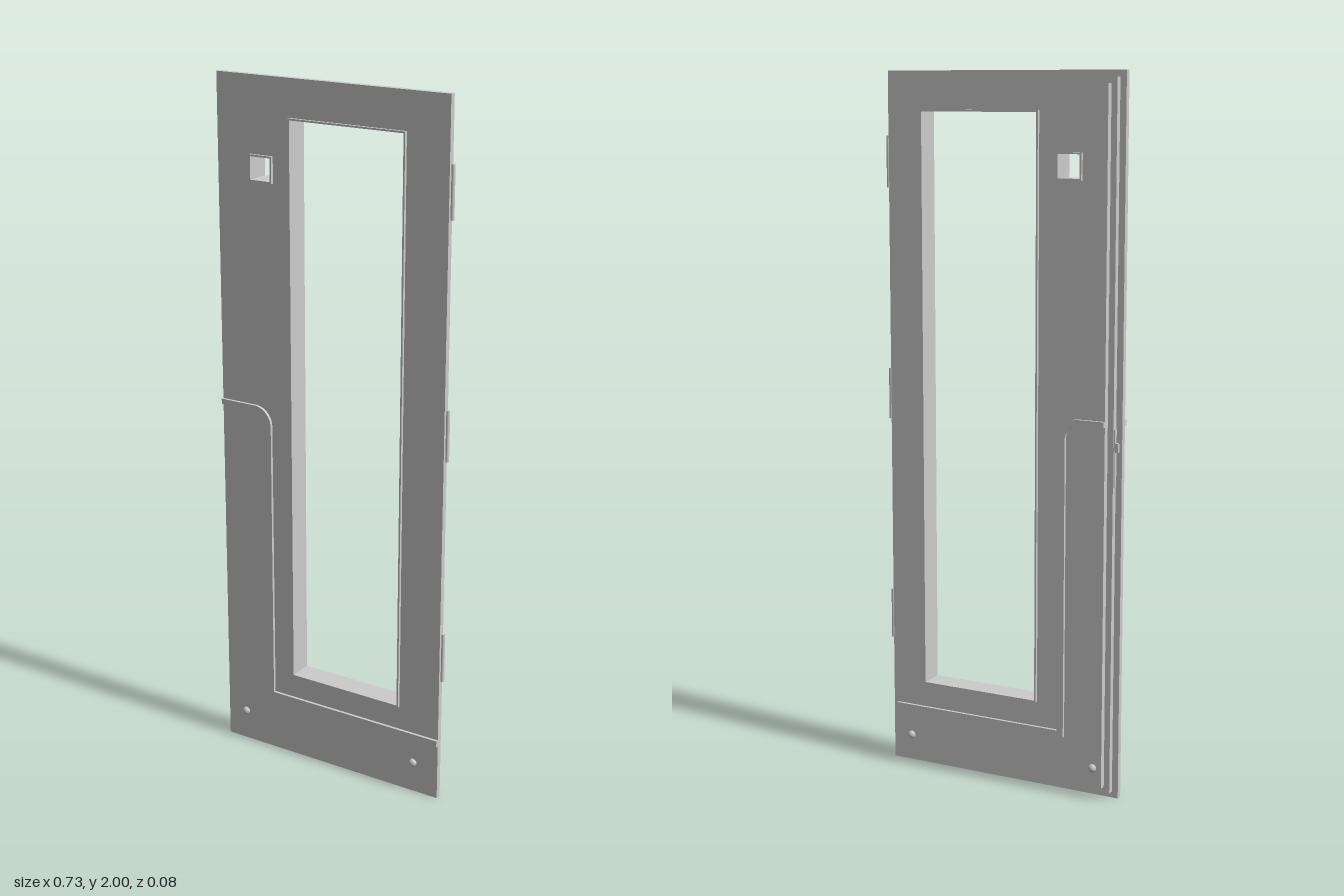
import * as THREE from 'three';

const material = new THREE.MeshStandardMaterial({ color: 0xcccccc });

// Outer rectangles of the two through openings: x0, y0, x1, y1
const WINDOW = [-0.132, 0.257, 0.23, 1.895];
const PEEPHOLE = [-0.26, 1.713, -0.186, 1.787];
const FRAME = 0.005;
const FRONT = 0.025, BACK = -0.029, TRIM = 0.0085;

function rect(target, [x0, y0, x1, y1]) {
  target.moveTo(x0, y0);
  target.lineTo(x1, y0);
  target.lineTo(x1, y1);
  target.lineTo(x0, y1);
  target.closePath();
  return target;
}

const inset = ([x0, y0, x1, y1], d) => [x0 + d, y0 + d, x1 - d, y1 - d];

export function createModel() {
  const group = new THREE.Group();

  function add(name, geometry, x = 0, y = 0, z = 0) {
    const mesh = new THREE.Mesh(geometry, material);
    mesh.name = name;
    mesh.position.set(x, y, z);
    group.add(mesh);
    return mesh;
  }

  function slab(name, shape, z0, z1) {
    const geometry = new THREE.ExtrudeGeometry(shape, {
      depth: z1 - z0, bevelEnabled: false, curveSegments: 10,
    });
    return add(name, geometry, 0, 0, z0);
  }

  // Door leaf: three layers, stepping inwards towards the back
  const layers = [
    ['frontLayer', [-0.367, 0, 0.357, 2], 0.008, FRONT],
    ['middleLayer', [-0.349, 0.018, 0.339, 1.982], -0.010, 0.008],
    ['backLayer', [-0.332, 0.035, 0.321, 1.965], BACK, -0.010],
  ];
  for (const [name, outline, z0, z1] of layers) {
    const shape = rect(new THREE.Shape(), outline);
    for (const opening of [WINDOW, PEEPHOLE]) {
      shape.holes.push(rect(new THREE.Path(), inset(opening, FRAME / 2)));
    }
    slab(name, shape, z0, z1);
  }

  // Thin frames lining the openings, proud of both faces
  for (const [name, opening] of [['windowFrame', WINDOW], ['peepholeFrame', PEEPHOLE]]) {
    const shape = rect(new THREE.Shape(), opening);
    shape.holes.push(rect(new THREE.Path(), inset(opening, FRAME)));
    slab(name, shape, BACK - TRIM, FRONT + TRIM);
  }

  // Moulding that runs in from the lock edge, bends down, then crosses the foot
  function mouldingShape(xLeft, xRight) {
    const s = new THREE.Shape();
    s.moveTo(xLeft, 1.058);
    s.lineTo(-0.257, 1.058);
    s.absarc(-0.257, 1.018, 0.04, Math.PI / 2, 0, true);
    s.lineTo(-0.217, 0.168);
    s.lineTo(xRight, 0.168);
    s.lineTo(xRight, 0.186);
    s.lineTo(-0.198, 0.186);
    s.lineTo(-0.198, 1.018);
    s.absarc(-0.254, 1.018, 0.056, 0, Math.PI / 2, false);
    s.lineTo(xLeft, 1.074);
    s.closePath();
    return s;
  }
  slab('frontMoulding', mouldingShape(-0.367, 0.357), FRONT, FRONT + TRIM);
  slab('backMoulding', mouldingShape(-0.332, 0.321), BACK - TRIM, BACK);

  // Domed bolt heads near the foot, on both faces
  for (const x of [-0.305, 0.277]) {
    for (const [face, z] of [[1, FRONT], [-1, BACK]]) {
      const dome = new THREE.SphereGeometry(0.012, 16, 6, 0, Math.PI * 2, 0, Math.PI / 2);
      dome.scale(1, 0.9, 1);
      dome.rotateX(face * Math.PI / 2);
      add(face > 0 ? 'frontBolt' : 'backBolt', dome, x, 0.091, z);
    }
  }

  // Hinge barrels on the left edge
  for (const y of [1.75, 1.093, 0.44]) {
    add('hinge', new THREE.CylinderGeometry(0.0055, 0.0055, 0.145, 16), 0.36, y, 0.012);
  }

  // Lock plate and latch on the stepped right edge
  add('lockPlate', new THREE.BoxGeometry(0.004, 0.16, 0.012), -0.35, 0.97, -0.001);
  add('latch', new THREE.BoxGeometry(0.014, 0.025, 0.009), -0.354, 1.0, -0.001);

  return group;
}
